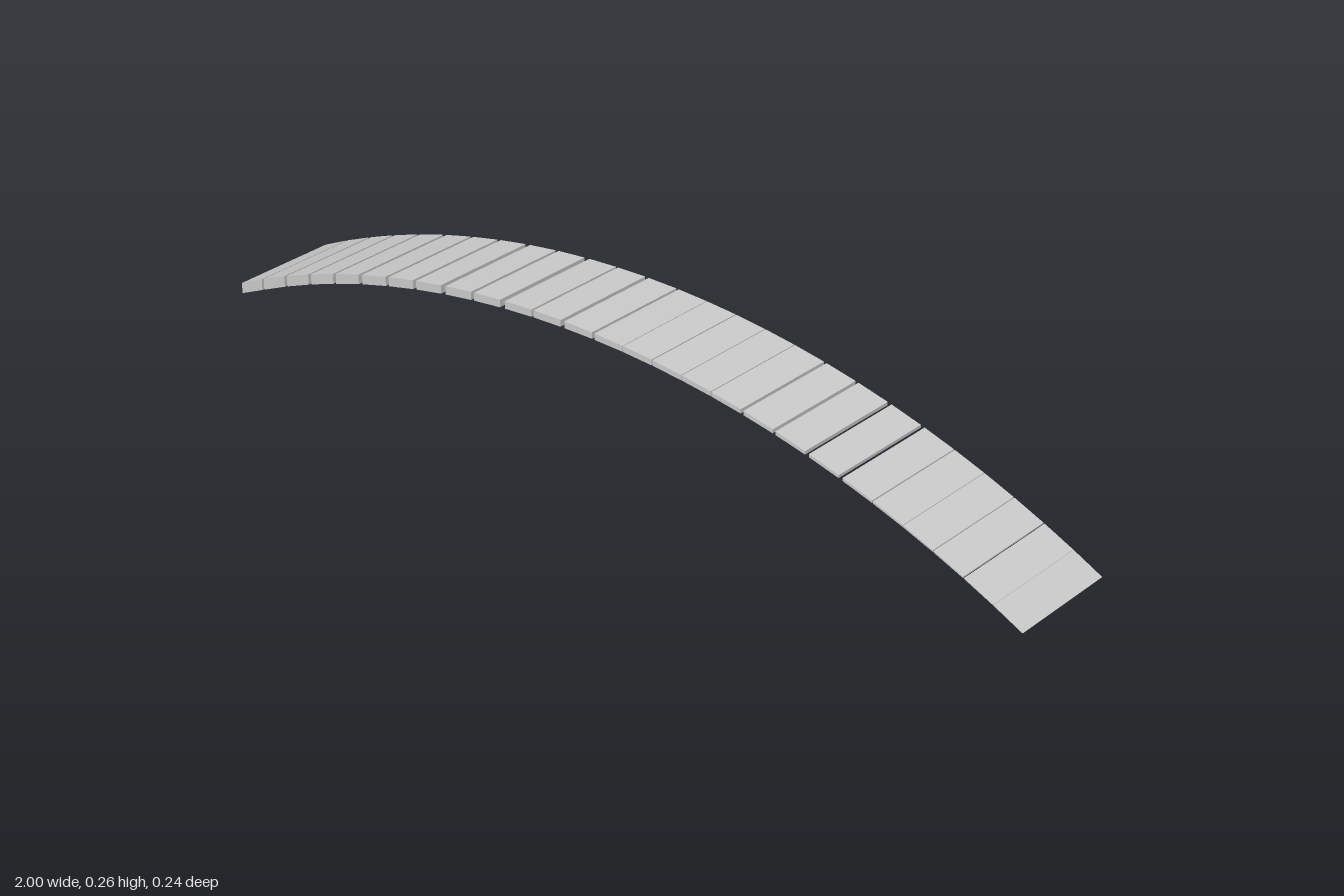
import * as THREE from 'three';

const HALF_WIDTH = 0.121;
const RADIUS = 2.254;
const CROWN = 0.258;
const PLANK_LENGTH = 0.0705;

// Left edge of each plank along the span, slightly uneven like laid boards
const STARTS = [
  -1, -0.93, -0.857, -0.783, -0.708, -0.63, -0.553, -0.475, -0.393,
  -0.315, -0.232, -0.156, -0.076, 0.001, 0.073, 0.146, 0.218, 0.29,
  0.366, 0.442, 0.52, 0.597, 0.667, 0.735, 0.803, 0.871, 0.936,
];

// Circular walking surface, and a thickness tapering to a thin edge at +x
const topY = (x) => CROWN - RADIUS + Math.sqrt(RADIUS * RADIUS - x * x);
const thickness = (x) => 0.0135 - 0.0125 * x;

// One plank: a straight slab whose ends follow the arc and the taper
function plankGeometry(x0, x1) {
  const geometry = new THREE.BoxGeometry(1, 1, 2 * HALF_WIDTH);
  const p = geometry.attributes.position;
  for (let i = 0; i < p.count; i++) {
    const x = p.getX(i) < 0 ? x0 : x1;
    const y = topY(x) - (p.getY(i) < 0 ? thickness(x) : 0);
    p.setXY(i, x, Math.max(0, y));
  }
  geometry.computeVertexNormals();
  return geometry;
}

export function createModel() {
  const bridge = new THREE.Group();
  bridge.name = 'archedPlankDeck';
  const material = new THREE.MeshStandardMaterial({ color: 0xcccccc, flatShading: true });

  STARTS.forEach((x0, i) => {
    // Planks are equally long along the arc, so they foreshorten toward the ends
    const slope = Math.asin(Math.min(1, Math.abs(x0 + 0.035) / RADIUS));
    const x1 = Math.min(1, x0 + PLANK_LENGTH * Math.cos(slope));
    const plank = new THREE.Mesh(plankGeometry(x0, x1), material);
    plank.name = `plank${i + 1}`;
    bridge.add(plank);
  });
  return bridge;
}
